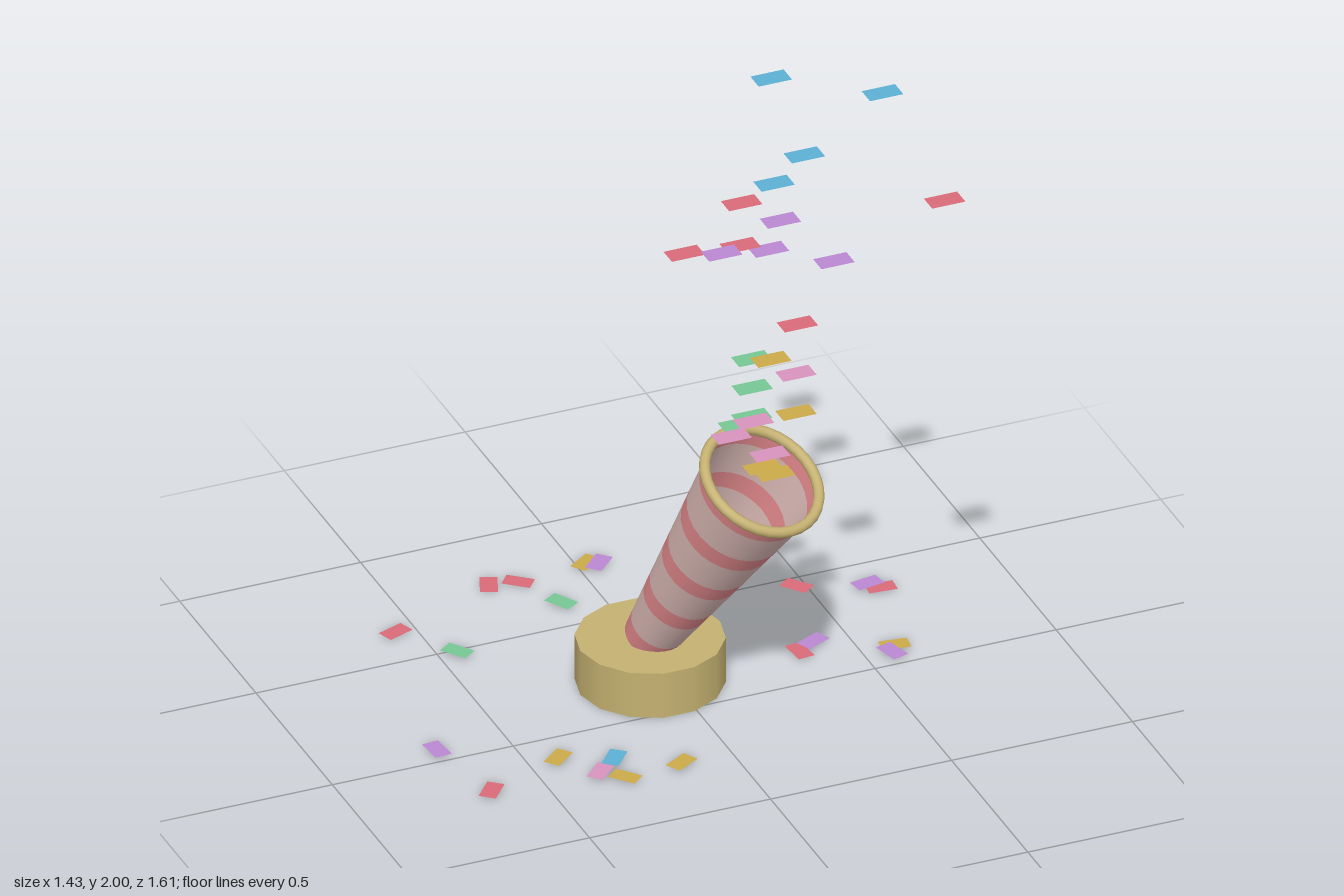
import * as THREE from 'three';

const mat = (name, color, side = THREE.FrontSide) => {
  const m = new THREE.MeshStandardMaterial({ color, side });
  m.name = name;
  return m;
};

export function createModel() {
  const model = new THREE.Group();
  model.name = 'confettiCannon';
  const D = THREE.DoubleSide;
  const gold = mat('brass', 0xc4b070);
  const tubePink = mat('pale pink', 0xd4b4b0, D);
  const stripePink = mat('stripe pink', 0xdc8589, D);
  const paper = {
    red: mat('paper red', 0xd96a78, D),
    gold: mat('paper gold', 0xcbaa48, D),
    purple: mat('paper purple', 0xba88d2, D),
    blue: mat('paper blue', 0x5cb0d4, D),
    green: mat('paper green', 0x76c694, D),
    pink: mat('paper pink', 0xd692bc, D),
  };
  const add = (parent, name, geometry, material) => {
    const mesh = new THREE.Mesh(geometry, material);
    mesh.name = name;
    parent.add(mesh);
    return mesh;
  };

  // Round foot
  const base = add(model, 'base', new THREE.CylinderGeometry(0.193, 0.193, 0.13, 14), gold);
  base.position.set(-0.05, 0.065, -0.17);
  base.rotation.y = Math.PI / 2;

  // Leaning barrel, built upright along y and then tilted
  const foot = new THREE.Vector3(-0.05, 0.13, -0.17);
  const axis = new THREE.Vector3(0.115, 0.735, 0.17).sub(foot);
  const length = axis.length();
  const barrel = new THREE.Group();
  barrel.name = 'barrel';
  barrel.position.copy(foot);
  barrel.quaternion.setFromUnitVectors(new THREE.Vector3(0, 1, 0), axis.normalize());
  model.add(barrel);

  // Thirteen rings, every third one a stripe
  const rings = 13;
  const radiusAt = (t) => 0.07 + 0.087 * t;
  for (let i = 0; i < rings; i++) {
    const a = i / rings, b = (i + 1) / rings;
    const stripe = i % 3 === 0;
    const ring = add(barrel, stripe ? 'barrelStripe' : 'barrelBand',
      new THREE.CylinderGeometry(radiusAt(b), radiusAt(a), length / rings, 28, 1, true),
      stripe ? stripePink : tubePink);
    ring.position.y = length * (a + b) / 2;
  }

  // Rolled rim
  const rim = add(barrel, 'rim', new THREE.TorusGeometry(0.159, 0.0145, 10, 32), gold);
  rim.rotation.x = Math.PI / 2;
  rim.position.y = length;

  // Flying confetti: colour, x, y, z
  const airPiece = new THREE.PlaneGeometry(0.092, 0.055).rotateX(-Math.PI / 2);
  const flying = [
    ['blue', 0.32, 2.0, 0.475], ['blue', 0.16, 1.89, 0.125],
    ['blue', 0.22, 1.69, 0.2], ['blue', 0.13, 1.635, 0.215],
    ['red', 0.365, 1.835, 0.775], ['red', -0.025, 1.697, 0.37],
    ['red', -0.01, 1.543, 0.325], ['red', -0.12, 1.488, 0.22],
    ['red', 0.015, 1.476, 0.64],
    ['purple', -0.095, 1.583, 0.405], ['purple', 0.19, 1.528, 0.465],
    ['purple', 0.154, 1.512, 0.2], ['purple', 0.085, 1.488, 0.285],
    ['pink', 0.165, 1.098, 0.275], ['pink', 0.05, 0.98, 0.27],
    ['pink', 0.02, 0.902, 0.195], ['pink', 0.11, 0.85, 0.234],
    ['green', 0.1, 1.083, 0.14], ['green', 0.08, 1.03, 0.19],
    ['green', 0.065, 0.894, 0.135], ['green', 0.108, 0.9, 0.12],
    ['gold', 0.14, 1.088, 0.17], ['gold', 0.18, 0.96, 0.24],
    ['gold', 0.11, 0.787, 0.19], ['gold', 0.13, 0.78, 0.22],
  ];
  for (const [color, x, y, z] of flying) {
    add(model, 'flyingConfetti', airPiece, paper[color]).position.set(x, y, z);
  }

  // Fallen confetti: colour, x, z, turn in degrees
  const groundPiece = new THREE.PlaneGeometry(0.076, 0.046).rotateX(-Math.PI / 2);
  const fallen = [
    ['red', -0.555, -0.64, 20], ['red', -0.245, -0.765, 68],
    ['red', -0.17, -0.75, -40], ['red', 0.475, -0.455, -52],
    ['red', 0.67, -0.365, -5], ['red', 0.355, -0.15, 95],
    ['red', -0.64, 0.19, 50],
    ['gold', 0.025, -0.77, 35], ['gold', 0.45, -0.74, -75],
    ['gold', 0.59, -0.085, -8], ['gold', -0.42, 0.105, 40],
    ['gold', -0.3, 0.26, -50], ['gold', -0.14, 0.25, 30],
    ['purple', 0.055, -0.755, 45], ['purple', 0.645, -0.395, 10],
    ['purple', 0.405, -0.18, 25], ['purple', 0.57, -0.055, -75],
    ['purple', -0.69, -0.05, 95],
    ['green', -0.11, -0.61, -60], ['green', -0.45, -0.485, -55],
    ['pink', -0.35, 0.215, 45], ['blue', -0.29, 0.165, 50],
  ];
  fallen.forEach(([color, x, z, turn], i) => {
    const piece = add(model, 'fallenConfetti', groundPiece, paper[color]);
    piece.position.set(x, 0.004 + 0.0002 * i, z);
    piece.rotation.y = THREE.MathUtils.degToRad(turn);
  });

  return model;
}
